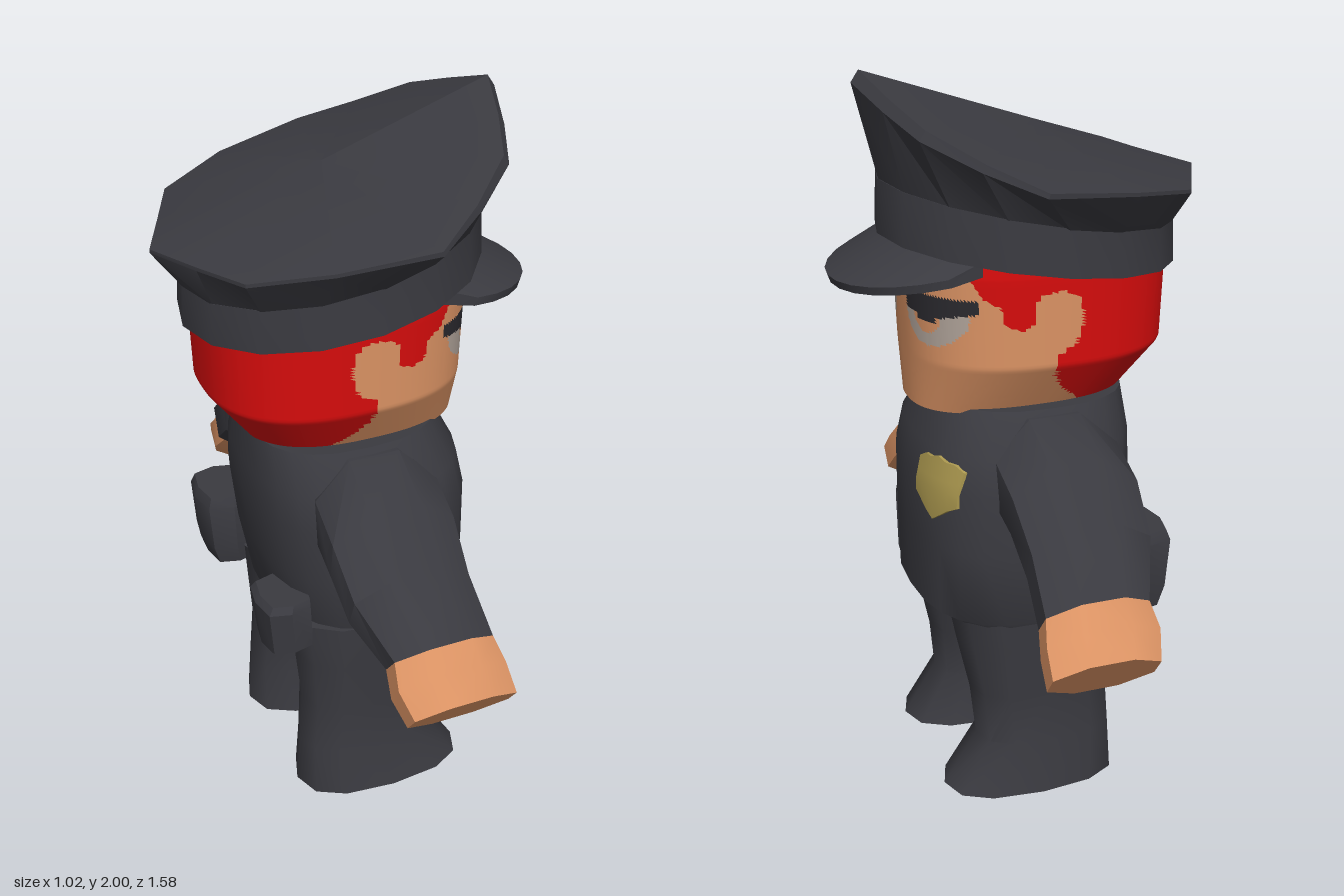
import * as THREE from 'three';
import { toCreasedNormals } from 'three/addons/utils/BufferGeometryUtils.js';

const mat = (name, color) => {
  const m = new THREE.MeshStandardMaterial({ color });
  m.name = name;
  return m;
};

// Skin through rings of equal length, with fan caps; always wound outward.
function loft(rings, crease = 0.7, tip = null, paint = null) {
  const n = rings[0].length, pts = rings.flat(), tris = [];
  const centre = r => [0, 1, 2].map(i => r.reduce((s, p) => s + p[i], 0) / n);
  for (let j = 0; j < rings.length - 1; j++) {
    for (let i = 0; i < n; i++) {
      const a = j * n + i, b = j * n + (i + 1) % n;
      tris.push([a, b, b + n], [a, b + n, a + n]);
    }
  }
  const last = (rings.length - 1) * n, c = pts.length;
  const all = [...pts, centre(rings[0]), tip || centre(rings[rings.length - 1])];
  for (let i = 0; i < n; i++) {
    const k = (i + 1) % n;
    tris.push([c, k, i], [c + 1, last + i, last + k]);
  }
  const V = all.map(p => new THREE.Vector3(...p)), cross = new THREE.Vector3();
  const volume = tris.reduce((s, [p, q, r]) => s + V[p].dot(cross.crossVectors(V[q], V[r])), 0);
  if (volume < 0) tris.forEach(t => t.reverse());
  let geo = new THREE.BufferGeometry();
  geo.setAttribute('position', new THREE.Float32BufferAttribute(all.flat(), 3));
  if (paint) {
    const buckets = [[], [], [], []];
    for (const t of tris) {
      const m = [0, 1, 2].map(i => t.reduce((s, q) => s + all[q][i], 0) / 3);
      buckets[paint(...m)].push(...t);
    }
    let start = 0;
    buckets.forEach((b, i) => { geo.addGroup(start, b.length, i); start += b.length; });
    geo.setIndex(buckets.flat());
  } else geo.setIndex(tris.flat());
  return toCreasedNormals(geo, crease);
}

// Rounded horizontal section: p = [y, back x, front x, inner z, outer z]
function section([y, x0, x1, z0, z1], sides, power) {
  const bend = v => Math.sign(v) * Math.abs(v) ** (2 / power);
  return Array.from({ length: sides }, (_, i) => {
    const a = (i / sides) * Math.PI * 2;
    return [(x0 + x1) / 2 + (x1 - x0) / 2 * bend(Math.cos(a)), y,
      (z0 + z1) / 2 + (z1 - z0) / 2 * bend(Math.sin(a))];
  });
}

// Interpolate a list of sections at height y
function at(list, y) {
  const i = Math.max(0, list.findIndex((p, k) => k === list.length - 2 || list[k + 1][0] >= y));
  const t = (y - list[i][0]) / (list[i + 1][0] - list[i][0]);
  return list[i].map((v, k) => v + (list[i + 1][k] - v) * t);
}

const torsoList = [
  [0.49, -0.2, 0.22, -0.3, 0.3], [0.55, -0.23, 0.31, -0.335, 0.335], [0.75, -0.27, 0.315, -0.34, 0.34],
  [0.92, -0.29, 0.315, -0.34, 0.34], [1.02, -0.29, 0.295, -0.32, 0.32], [1.13, -0.28, 0.24, -0.25, 0.25],
];
const headList = [
  [1.115, -0.28, 0.305, -0.2, 0.2], [1.26, -0.39, 0.31, -0.287, 0.287],
  [1.5, -0.4, 0.32, -0.29, 0.29], [1.62, -0.38, 0.3, -0.28, 0.28],
];

// Hairline seen from the side, as x, y
const hairline = [[-0.6, 1], [-0.12, 1], [-0.11, 1.13], [-0.05, 1.18], [-0.02, 1.23], [-0.02, 1.29], [-0.07, 1.32],
  [-0.09, 1.38], [-0.08, 1.44], [-0.04, 1.465], [0.02, 1.46], [0.04, 1.44], [0.045, 1.38], [0.08, 1.365],
  [0.12, 1.38], [0.13, 1.43], [0.17, 1.45], [0.2, 1.5], [0.2, 1.8], [-0.6, 1.8]];
function inside(poly, x, y) {
  let hit = false;
  poly.forEach(([ax, ay], i) => {
    const [bx, by] = poly[(i + 1) % poly.length];
    if ((ay > y) !== (by > y) && x < (bx - ax) * (y - ay) / (by - ay) + ax) hit = !hit;
  });
  return hit;
}

// Head colours: 0 skin, 1 hair, 2 eye, 3 brow
function paintHead(x, y, z) {
  if (inside(hairline, x, y)) return 1;
  if (x < 0.1) return 0;
  const w = Math.abs(z);
  if (w > 0.05 && w < 0.25 && y < 1.447 && y > 1.39 + Math.max(0, w - 0.18) * 0.3) return 3;
  if (w > 0.105 && w < 0.17 && y > 1.375 && y < 1.4) return 3;
  const outer = Math.hypot((w - 0.143) / 0.094, (y - 1.395) / 0.088);
  const inner = Math.hypot((w - 0.138) / 0.045, (y - 1.39) / 0.048);
  return outer < 1 && y < 1.41 && inner > 1 ? 2 : 0;
}

export function createModel() {
  const model = new THREE.Group();
  const uniform = mat('charcoal uniform', 0x3a3a40), skin = mat('skin', 0xdb9364);
  const hair = mat('red hair', 0xd60c0c), eye = mat('eye grey', 0xb2a59b);
  const brow = mat('brow dark', 0x2b2a2f), gold = mat('badge gold', 0xa8954d);
  const add = (name, geo, material) => {
    const m = new THREE.Mesh(geo, material);
    m.name = name;
    model.add(m);
  };

  add('torso', loft(torsoList.map(p => section(p, 24, 2.6)), 0.9), uniform);

  // Head, coloured by face groups
  const headRings = [];
  for (let i = 0; i <= 64; i++) headRings.push(section(at(headList, 1.115 + i * 0.5 / 64), 192, 2.5));
  add('head', loft(headRings, 0.7, null, paintHead), [skin, hair, eye, brow]);

  // Legs with flared feet, and arms with hands
  const legList = [[0, -0.22, 0.28, 0.06, 0.335], [0.15, -0.21, 0.185, 0.085, 0.31], [0.3, -0.2, 0.2, 0.07, 0.312],
    [0.46, -0.215, 0.235, 0.04, 0.328], [0.6, -0.23, 0.26, 0.0, 0.335]];
  // Arm section: [upper z, upper y, lower z, lower y, back x, front x]
  const armList = [[0.2, 1.11, 0.25, 0.78, -0.17, 0.15], [0.27, 1.115, 0.31, 0.8, -0.19, 0.155],
    [0.42, 1.04, 0.385, 0.785, -0.195, 0.15], [0.55, 0.92, 0.47, 0.715, -0.185, 0.14],
    [0.69, 0.79, 0.57, 0.645, -0.13, 0.15]];
  const handList = [armList[4], [0.735, 0.735, 0.63, 0.592, -0.14, 0.165], [0.79, 0.67, 0.69, 0.54, -0.12, 0.17]];
  const armRing = ([uz, uy, lz, ly, x0, x1], s) => Array.from({ length: 8 }, (_, i) => {
    const a = (i + 0.5) / 8 * Math.PI * 2, k = 1 / Math.cos(Math.PI / 8);
    const t = 0.5 + 0.5 * k * Math.sin(a);
    return [(x0 + x1) / 2 + (x1 - x0) / 2 * k * Math.cos(a), ly + (uy - ly) * t, s * (lz + (uz - lz) * t)];
  });
  for (const [side, s] of [['right', 1], ['left', -1]]) {
    const flip = r => r.map(([x, y, z]) => [x, y, s * z]);
    add(side + 'Leg', loft(legList.map(p => flip(section(p, 12, 2.5))), 0.9), uniform);
    add(side + 'Arm', loft(armList.map(p => armRing(p, s)), 0.9), uniform);
    add(side + 'Hand', loft(handList.map(p => armRing(p, s)), 0.9), skin);
  }

  // Cap band, tilted back
  const bandRing = (y, slope, grow) => Array.from({ length: 16 }, (_, i) => {
    const a = i / 8 * Math.PI, x = -0.03 + (0.4 + grow) * Math.cos(a);
    return [x, y + slope * x, (0.345 + grow) * Math.sin(a)];
  });
  add('capBand', loft([bandRing(1.52, 0.15, 0.005), bandRing(1.65, 0.19, 0)], 0.6), uniform);

  // Flared crown rising to a point at the front
  const half = [[0.41, 2, 0], [0.37, 1.95, 0.14], [0.32, 1.9, 0.27], [0.2, 1.83, 0.37], [0.07, 1.77, 0.455],
    [-0.18, 1.735, 0.4], [-0.37, 1.7, 0.3], [-0.44, 1.69, 0.15], [-0.51, 1.685, 0]];
  const rim = [...half, ...half.slice(1, 8).reverse().map(([x, y, z]) => [x, y, -z])];
  const lip = rim.map(([x, y, z]) => [x + Math.max(0, x) * 0.05, y - 0.01 - Math.max(0, x) * 0.05, z]);
  add('capCrown', loft([bandRing(1.64, 0.19, -0.005), lip, rim], 0.45, [-0.05, 1.843, 0]), uniform);

  // Visor: an arc of thin cross-sections
  const visor = [];
  for (let i = 0; i <= 12; i++) {
    const a = (i / 6 - 1) * 1.35, c = Math.cos(a), s = Math.sin(a);
    const ox = 0.2 + 0.31 * c, oz = 0.275 * s, oy = 1.545 - (ox - 0.12) * 0.17;
    const ix = 0.13 + 0.2 * c, iz = 0.265 * s, iy = 1.535 + 0.04 * c;
    visor.push([[ix, iy + 0.01, iz], [ox, oy, oz], [ox - 0.008, oy - 0.022, oz], [ix, iy - 0.03, iz]]);
  }
  add('capVisor', loft(visor, 0.6), uniform);

  // Shield badge following the chest
  const chestX = (y, z) => {
    const [, x0, x1, , r] = at(torsoList, y);
    return (x0 + x1) / 2 + (x1 - x0) / 2 * (1 - (Math.abs(z) / r) ** 2.6) ** (1 / 2.6);
  };
  const badge = [[-0.105, 0.985, 0.885], [-0.13, 1.0, 0.87], [-0.155, 1.0, 0.85], [-0.183, 1.01, 0.83],
    [-0.21, 1.0, 0.85], [-0.235, 1.0, 0.87], [-0.26, 0.985, 0.885]].map(([z, top, low]) => {
    const ys = [top, 0.95, 0.92, low];
    return [...ys.map(y => [chestX(y, z) + 0.007, y, z]), ...ys.reverse().map(y => [chestX(y, z) - 0.002, y, z])];
  });
  add('badge', loft(badge, 0.6), gold);

  // Holster and belt pouches: tapered bevelled boxes
  const pouch = (name, levels) => add(name, loft(levels.map(p => section(p, 8, 3.5)), 0.5), uniform);
  pouch('holster', [[0.45, 0.1, 0.24, 0.27, 0.375], [0.5, 0.08, 0.25, 0.27, 0.39],
    [0.66, 0.06, 0.25, 0.28, 0.41], [0.7, 0.08, 0.23, 0.29, 0.4]]);
  pouch('rightPouch', [[0.54, -0.32, -0.18, 0.12, 0.28], [0.68, -0.335, -0.19, 0.11, 0.29], [0.7, -0.32, -0.19, 0.12, 0.28]]);
  pouch('leftPouch', [[0.54, -0.31, -0.17, -0.355, -0.18], [0.6, -0.33, -0.17, -0.362, -0.17],
    [0.74, -0.342, -0.17, -0.365, -0.17], [0.77, -0.33, -0.18, -0.355, -0.18]]);

  return model;
}
